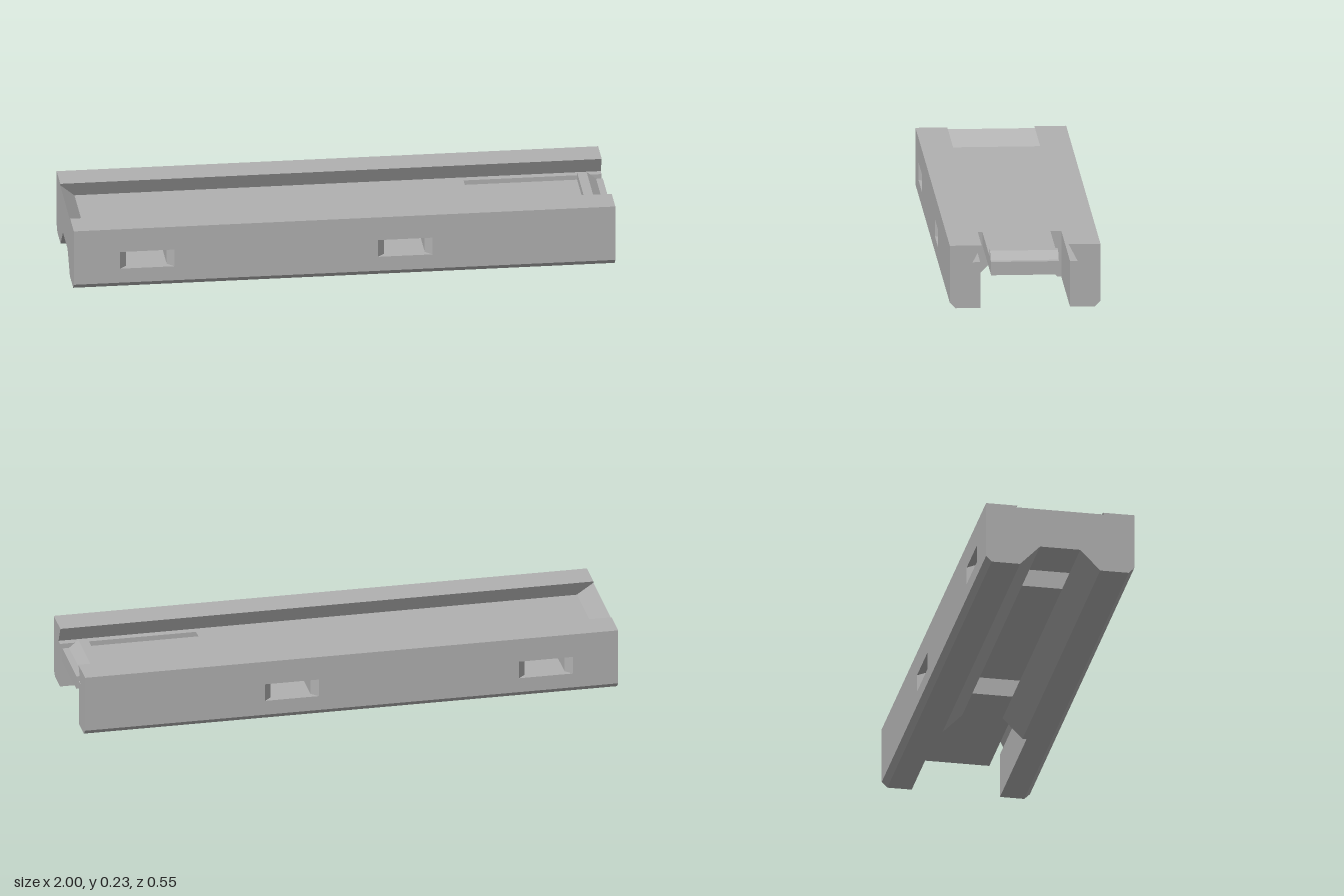
import * as THREE from 'three';

export function createModel() {
  const model = new THREE.Group();
  const gray = new THREE.MeshStandardMaterial({ color: 0xb0b0b0 });
  gray.name = 'plain gray';

  const shapeOf = (pts) => new THREE.Shape(pts.map(([a, b]) => new THREE.Vector2(a, b)));
  const add = (name, geometry) => {
    const mesh = new THREE.Mesh(geometry, gray);
    mesh.name = name;
    model.add(mesh);
  };
  const extrude = (pts, depth) =>
    new THREE.ExtrudeGeometry(shapeOf(pts), { depth, bevelEnabled: false });

  // Cross-section (z, y) drawn out along x
  const alongX = (name, pts, x0, x1) =>
    add(name, extrude(pts.map(([z, y]) => [-z, y]), x1 - x0).rotateY(Math.PI / 2).translate(x0, 0, 0));
  // Side profile (x, y) drawn out along z, centred
  const acrossZ = (name, pts, halfWidth) =>
    add(name, extrude(pts, halfWidth * 2).translate(0, 0, -halfWidth));
  // Closed outline from its half, mirrored in z
  const mirrored = (half) => [...half, ...half.map(([z, y]) => [-z, y]).reverse()];

  const W = 0.277, H = 0.235, FLOOR = 0.172, GROOVE = 0.077;
  const SLOT_LOW = GROOVE, SLOT_HIGH = 0.144;
  const CUT = 0.49; // start of the open end around the spring latch
  const slots = [[-0.83, -0.628], [0.123, 0.325]];

  const dovetail = [[W, H], [0.16, H], [0.193, FLOOR]];
  const fullBody = mirrored([[0.075, GROOVE], [0.15, 0], [0.256, 0], [W, 0.021], ...dovetail]);
  const upperBody = mirrored([[W, SLOT_HIGH], ...dovetail]);

  // Solid lengths of the body between the slots
  const stops = [-1, ...slots.flat(), CUT];
  for (let i = 0; i < stops.length; i += 2) alongX('body', fullBody, stops[i], stops[i + 1]);

  // Through slots: legs below, bridge above, bevelled mouths
  const BEVEL = 0.026;
  for (const [x0, x1] of slots) {
    alongX('slotBridge', upperBody, x0, x1);
    for (const s of [1, -1]) {
      alongX('slotLeg',
        [[0.075, SLOT_LOW], [0.15, 0], [0.256, 0], [W, 0.021], [W, SLOT_LOW]].map(([z, y]) => [z * s, y]), x0, x1);
    }
    for (const [x, d] of [[x0, BEVEL], [x1, -BEVEL]]) {
      const plan = [[x, W], [x + d, W - BEVEL], [x + d, BEVEL - W], [x, -W]];
      add('slotCheek', extrude(plan, SLOT_HIGH - SLOT_LOW).rotateX(-Math.PI / 2).translate(0, SLOT_LOW, 0));
    }
  }

  // Side rails flanking the open end
  for (const s of [1, -1]) {
    alongX('sideRail',
      [[0.165, 0], [0.256, 0], [W, 0.021], ...dovetail, [0.165, FLOOR]].map(([z, y]) => [z * s, y]), CUT, 1);
  }

  // Spring tongue with its ramped catch
  acrossZ('latchTongue', [
    [CUT, 0.122], [1, 0.122], [1, FLOOR], [0.975, FLOOR],
    [0.94, 0.201], [0.905, 0.201], [0.905, FLOOR], [CUT, FLOOR],
  ], 0.125);

  // Sloped stop closing the far end of the dovetail channel
  acrossZ('endStop', [[-1, FLOOR], [-0.944, FLOOR], [-1, 0.228]], 0.193);

  return model;
}
